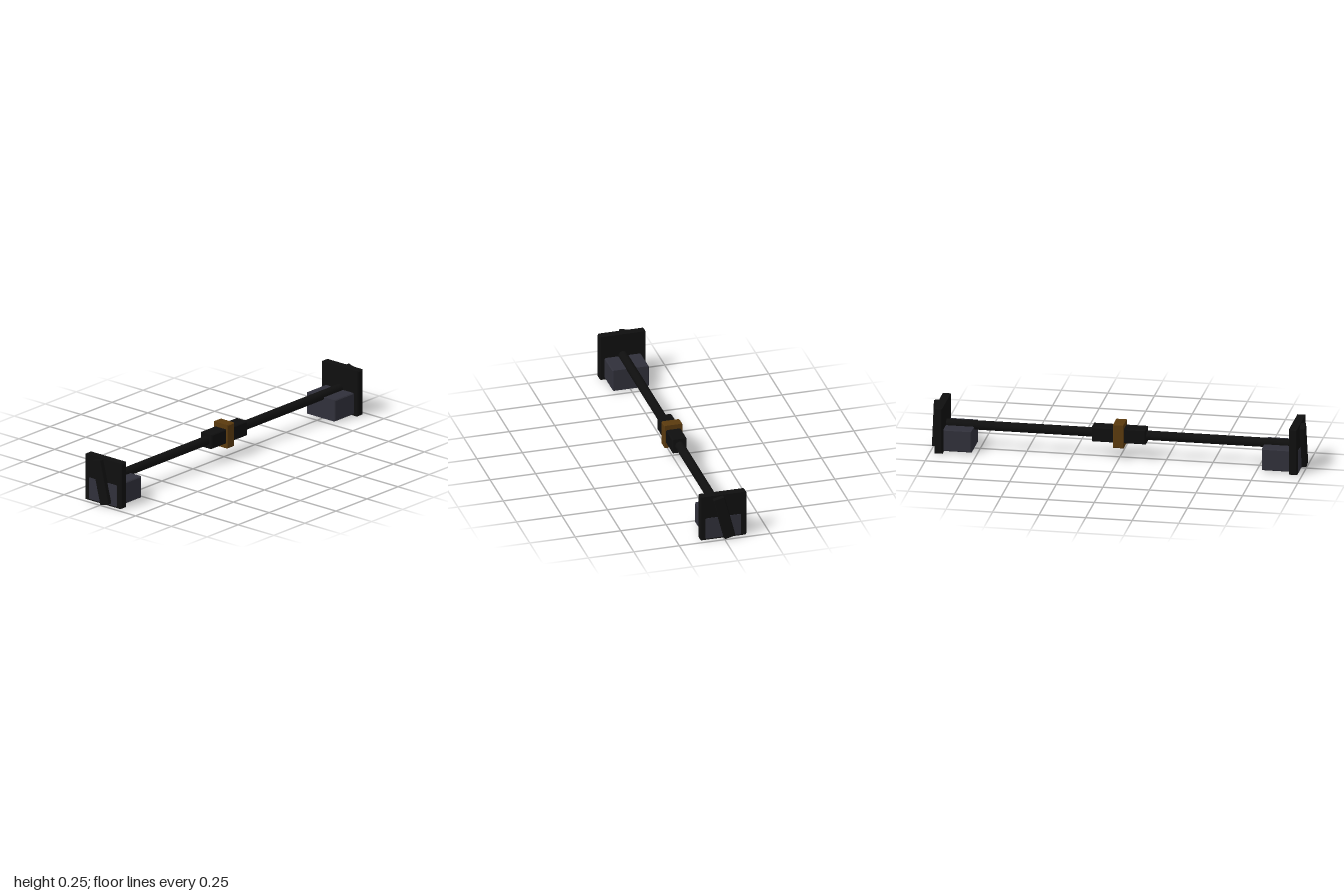
import * as THREE from 'three';

const black = new THREE.MeshStandardMaterial({ color: 0x0f0f0f });
black.name = 'black metal';
const slate = new THREE.MeshStandardMaterial({ color: 0x30303a });
slate.name = 'slate grey';
const bronze = new THREE.MeshStandardMaterial({ color: 0x5a3a0e });
bronze.name = 'dark bronze';

// Box with small chamfered edges
function chamferBox(name, w, h, d, c, material) {
  const x = w / 2 - c, y = h / 2 - c;
  const shape = new THREE.Shape([
    new THREE.Vector2(-x, -y), new THREE.Vector2(x, -y),
    new THREE.Vector2(x, y), new THREE.Vector2(-x, y),
  ]);
  const geometry = new THREE.ExtrudeGeometry(shape, {
    depth: d - 2 * c, bevelEnabled: true, bevelSize: c, bevelThickness: c, bevelSegments: 1,
  });
  geometry.translate(0, 0, -(d / 2 - c));
  const mesh = new THREE.Mesh(geometry, material);
  mesh.name = name;
  return mesh;
}

// End assembly on the +x side
function makeEnd(name) {
  const end = new THREE.Group();
  end.name = name;

  const plate = chamferBox('endPlate', 0.043, 0.255, 0.255, 0.006, black);
  plate.position.set(0.952, 0.1275, 0);

  const block = chamferBox('mountBlock', 0.197, 0.12, 0.2, 0.005, slate);
  block.position.set(0.8775, 0.067, 0);

  const bar = chamferBox('slantedBar', 0.04, 0.243, 0.062, 0.004, black);
  bar.position.set(0.98, 0.1275, 0);
  bar.rotation.x = 0.25;

  end.add(plate, block, bar);
  return end;
}

export function createModel() {
  const model = new THREE.Group();
  model.name = 'crossbar';
  const axisY = 0.13;

  // Long round rod joining the two ends
  const rod = new THREE.Mesh(new THREE.CylinderGeometry(0.025, 0.025, 1.9, 16), black);
  rod.name = 'rod';
  rod.rotation.z = Math.PI / 2;
  rod.position.y = axisY;

  // Central sleeve with its bronze collar
  const sleeve = chamferBox('sleeve', 0.29, 0.08, 0.08, 0.005, black);
  sleeve.position.y = axisY;
  const collar = chamferBox('collar', 0.056, 0.132, 0.1, 0.004, bronze);
  collar.position.y = axisY;

  // The right end is the left end turned half way round
  const left = makeEnd('leftEnd');
  const right = makeEnd('rightEnd');
  right.rotation.y = Math.PI;

  model.add(rod, sleeve, collar, left, right);
  return model;
}
